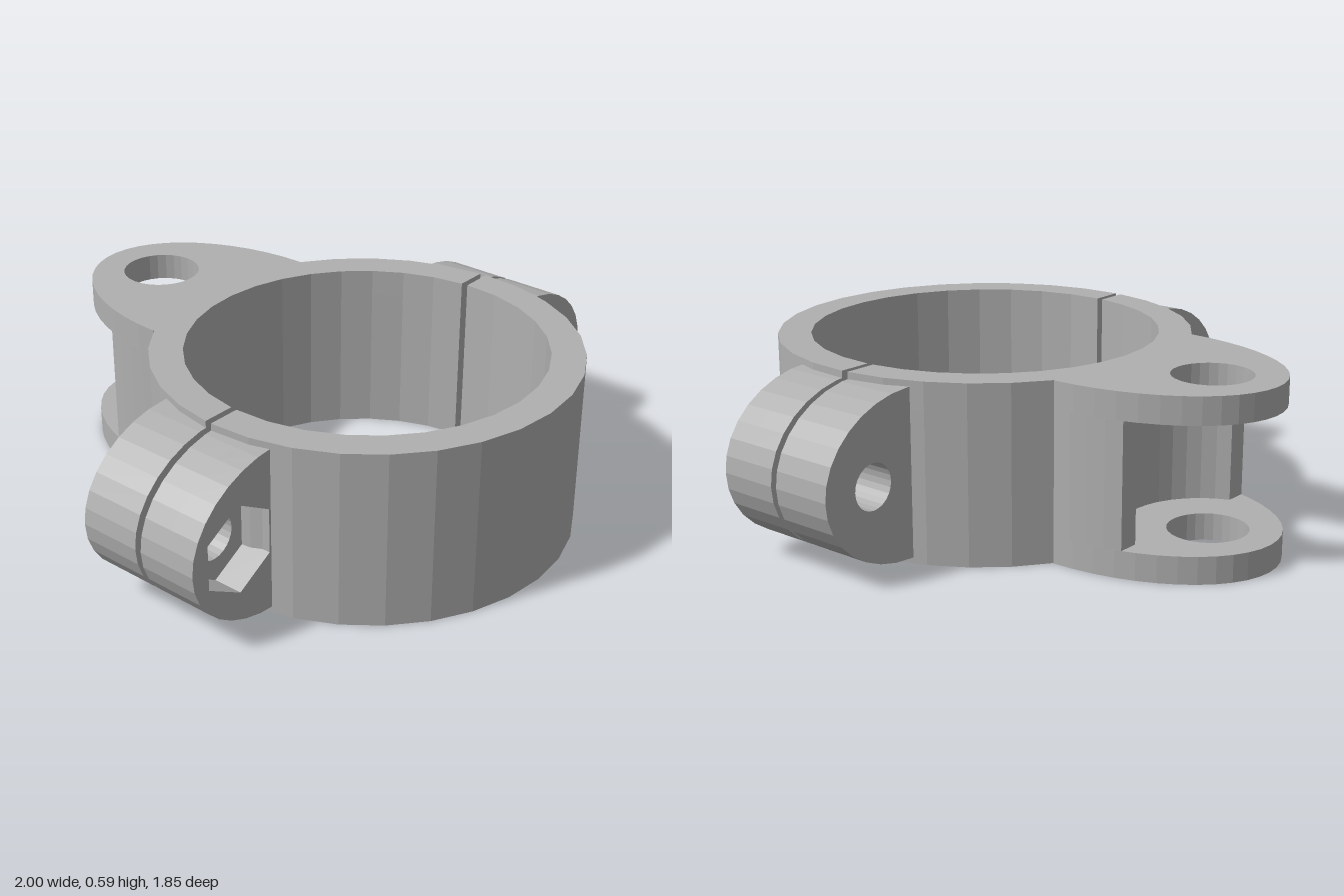
import * as THREE from 'three';

const H = 0.59;            // clamp height
const RZ = 0.225;          // z of the ring centre
const R_OUT = 0.695, R_IN = 0.585;
const GAP_BACK = 0.177, GAP_FRONT = 0.199;
const LUG_Z = 0.695;       // distance of the hinge hole behind the origin

// Points along an elliptical arc
function arc(cx, cy, rx, ry, a0, a1, n) {
  const pts = [];
  for (let i = 0; i <= n; i++) {
    const a = a0 + (a1 - a0) * i / n;
    pts.push(new THREE.Vector2(cx + rx * Math.cos(a), cy + ry * Math.sin(a)));
  }
  return pts;
}

const circle = (x, y, r, n, start = 0) => arc(x, y, r, r, start, start + 2 * Math.PI * (n - 1) / n, n - 1);

function extrude(outline, holes, depth) {
  const shape = new THREE.Shape(outline);
  holes.forEach(h => shape.holes.push(new THREE.Path(h)));
  return new THREE.ExtrudeGeometry(shape, { depth, bevelEnabled: false, steps: 1 });
}

export function createModel() {
  const group = new THREE.Group();
  const grey = new THREE.MeshStandardMaterial({ color: 0xb0b0b0 });

  function add(name, geometry) {
    const mesh = new THREE.Mesh(geometry, grey);
    mesh.name = name;
    group.add(mesh);
  }

  // Plan outline (x, -z) raised from y0 to y1
  function addPlan(name, outline, holes, y0, y1) {
    const g = extrude(outline, holes, y1 - y0);
    g.rotateX(-Math.PI / 2);
    g.translate(0, y0, 0);
    add(name, g);
  }

  const PI = Math.PI;
  const ringArc = (r, a0, a1, n) => arc(0, -RZ, r, r, a0, a1, n);

  // Front half ring
  const fo = Math.asin((RZ - GAP_FRONT) / R_OUT), fi = Math.asin((RZ - GAP_FRONT) / R_IN);
  addPlan('frontHalfRing', [
    ...ringArc(R_OUT, PI - fo, 2 * PI + fo, 16),
    ...ringArc(R_IN, 2 * PI + fi, PI - fi, 16),
  ], [], 0, H);

  // Back half ring with the hinge lug, in three layers
  const bo = Math.asin((RZ - GAP_BACK) / R_OUT), bi = Math.asin((RZ - GAP_BACK) / R_IN);
  const meet = Math.acos(0.362 / R_OUT);
  const backOutline = lug => [
    ...ringArc(R_OUT, bo, meet, 5),
    ...lug,
    ...ringArc(R_OUT, PI - meet, PI - bo, 5),
    ...ringArc(R_IN, PI - bi, bi, 16),
  ];
  const lugArc = (a0, a1, n) => arc(0, 0.37, 0.365, 0.555, a0, a1, n);
  const fullLug = lugArc(0, PI, 24);
  const side = Math.asin(0.235 / 0.555);
  const cut = Math.atan2(0.09, 0.26);
  const slottedLug = [
    ...lugArc(0, side, 4),
    ...arc(0, LUG_Z, 0.275, 0.275, -cut, cut - PI, 14),
    ...lugArc(PI - side, PI, 4),
  ];
  const pinHole = circle(0, LUG_Z, 0.13, 28);
  addPlan('lowerHingeLug', backOutline(fullLug), [pinHole], 0, 0.09);
  addPlan('slottedBackRing', backOutline(slottedLug), [], 0.09, 0.5);
  addPlan('upperHingeLug', backOutline(fullLug), [pinHole], 0.5, H);

  // Bolt ears on both sides: round bolt holes, hexagonal nut pockets in front
  for (const s of [1, -1]) {
    const label = s > 0 ? 'left' : 'right';
    const outline = [
      new THREE.Vector2(s * 0.62, 0.02),
      ...arc(s * 0.65, H / 2, s * 0.35, 0.275, -PI / 2, PI / 2, 16),
      new THREE.Vector2(s * 0.62, 0.57),
    ];
    const bolt = circle(s * 0.805, H / 2, 0.075, 24);
    const hex = circle(s * 0.805, H / 2, 0.15, 6, PI / 2);
    const addEar = (name, hole, z0, z1) => {
      const g = extrude(outline, [hole], z1 - z0);
      g.translate(0, 0, z0);
      add(label + name, g);
    };
    addEar('BackEar', bolt, -0.035, GAP_BACK);
    addEar('FrontEar', bolt, GAP_FRONT, 0.305);
    addEar('NutPocket', hex, 0.305, 0.405);
  }

  return group;
}
